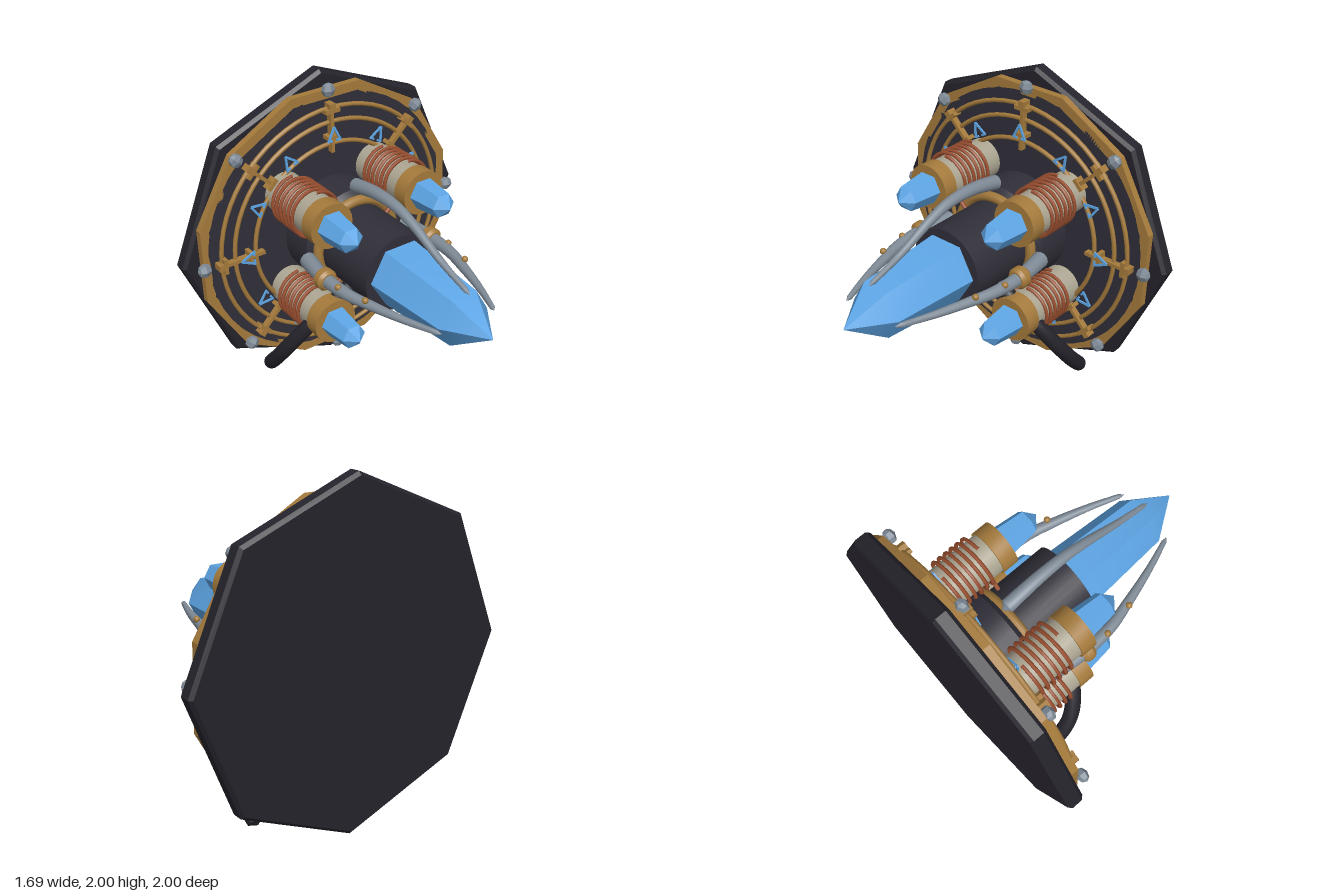
import * as THREE from 'three';
import { toCreasedNormals } from 'three/addons/utils/BufferGeometryUtils.js';

export function createModel() {
  const mat = (name, color) => {
    const m = new THREE.MeshStandardMaterial({ color });
    m.name = name;
    return m;
  };
  const black = mat('black iron', 0x25232b);
  const dark = mat('dark metal', 0x302f39);
  const brass = mat('brass', 0xa47a3c);
  const blue = mat('blue crystal', 0x5ea6e6);
  const copper = mat('copper', 0x9a4f30);
  const cream = mat('ceramic', 0xaca592);
  const steel = mat('steel', 0x7f8b97);

  // Everything is built around the x axis, then lifted by 1
  const model = new THREE.Group();
  const root = new THREE.Group();
  root.name = 'device';
  root.position.y = 1;
  model.add(root);

  const add = (parent, name, geo, material, x = 0, y = 0, z = 0) => {
    const m = new THREE.Mesh(geo, material);
    m.name = name;
    m.position.set(x, y, z);
    parent.add(m);
    return m;
  };

  // Turned solid about x; profile is [x, radius] from back to front
  const turned = (profile, sides, start = 0) => {
    const pts = profile.map(([x, r]) => new THREE.Vector2(r, x));
    const g = new THREE.LatheGeometry(pts, sides, start).rotateZ(-Math.PI / 2);
    return toCreasedNormals(g, 0.5);
  };
  const hoop = (r, tube, segs = 64) => new THREE.TorusGeometry(r, tube, 8, segs).rotateY(Math.PI / 2);

  // Closed tube with a radius that changes along its path
  const taperTube = (points, r0, r1, segs = 32, sides = 12) => {
    const curve = new THREE.CatmullRomCurve3(points.map((p) => new THREE.Vector3(...p)));
    const g = new THREE.TubeGeometry(curve, segs, 1, sides);
    const pos = g.attributes.position;
    const v = new THREE.Vector3();
    for (let i = 0; i <= segs; i++) {
      // the first and last rings close on the rings beside them
      const end = i === 0 || i === segs;
      const t = Math.min(Math.max(i, 1), segs - 1) / segs;
      const c = curve.getPointAt(i / segs);
      const r = end ? 0 : r0 + (r1 - r0) * t;
      for (let j = 0; j <= sides; j++) {
        const k = i * (sides + 1) + j;
        v.fromBufferAttribute(pos, k).sub(c).multiplyScalar(r).add(c);
        pos.setXYZ(k, v.x, v.y, v.z);
      }
    }
    return toCreasedNormals(g, 0.65);
  };

  const rod = (a, b, r) => {
    const p = new THREE.Vector3(...a), q = new THREE.Vector3(...b);
    return new THREE.TubeGeometry(new THREE.LineCurve3(p, q), 1, r, 8);
  };

  // Octagonal back plate, face disc and brass rim
  add(root, 'backPlate', turned([[-0.85, 0], [-0.85, 0.98], [-0.83, 1], [-0.765, 1], [-0.745, 0.98], [-0.745, 0]], 8), black);
  add(root, 'faceDisc', turned([[-0.745, 0], [-0.745, 0.86], [-0.7, 0.86], [-0.7, 0]], 48), dark);
  add(root, 'brassRim', turned([[-0.745, 0.925], [-0.7, 0.925], [-0.7, 0.865], [-0.745, 0.865], [-0.745, 0.925]], 12, Math.PI / 12), brass);

  // Raised rings on the face
  for (const r of [0.79, 0.7, 0.56]) add(root, 'faceRing', hoop(r, 0.014), brass, -0.67);

  // Eight bolts and graduated spokes
  for (let i = 0; i < 8; i++) {
    const sector = new THREE.Group();
    sector.name = 'spokeAndBolt';
    sector.rotation.x = (i * Math.PI) / 4;
    root.add(sector);
    const bolt = toCreasedNormals(new THREE.SphereGeometry(0.045, 6, 4), 0.3);
    add(sector, 'bolt', bolt, steel, -0.675, 0.9).scale.x = 0.8;
    add(sector, 'spoke', new THREE.BoxGeometry(0.04, 0.31, 0.022), brass, -0.66, 0.665);
    add(sector, 'outerTick', new THREE.BoxGeometry(0.06, 0.025, 0.1), brass, -0.66, 0.78);
    add(sector, 'spokeHead', new THREE.BoxGeometry(0.06, 0.05, 0.04), brass, -0.66, 0.8);
    add(sector, 'innerTick', new THREE.BoxGeometry(0.06, 0.025, 0.08), brass, -0.66, 0.61);
  }

  // Twelve thin arrow marks
  for (let i = 0; i < 12; i++) {
    const mark = new THREE.Group();
    mark.name = 'arrowMark';
    mark.rotation.x = (i * Math.PI) / 6;
    root.add(mark);
    for (const s of [-1, 1]) {
      const stroke = new THREE.BoxGeometry(0.009, 0.1, 0.013);
      add(mark, 'stroke', stroke, blue, -0.626, 0.635, s * 0.022).rotation.x = -s * 0.45;
      const foot = new THREE.BoxGeometry(0.009, 0.012, 0.032);
      add(mark, 'foot', foot, blue, -0.626, 0.595, s * 0.03);
    }
  }

  // Central flange, barrel, collar and large crystal
  add(root, 'flange', turned([[-0.7, 0], [-0.7, 0.33], [-0.47, 0.33], [-0.44, 0.3], [-0.44, 0]], 40), dark);
  add(root, 'barrel', turned([[-0.45, 0], [-0.45, 0.245], [0.02, 0.245], [0.02, 0]], 40), dark);
  add(root, 'collar', hoop(0.275, 0.032), brass, -0.425);
  add(root, 'mainCrystal', turned([[0, 0], [0, 0.21], [0.59, 0.172], [0.84, 0]], 6), blue);

  // Helical winding for the emitters
  class Helix extends THREE.Curve {
    getPoint(t, target = new THREE.Vector3()) {
      const a = t * Math.PI * 12;
      return target.set(-0.59 + t * 0.25, 0.148 * Math.cos(a), 0.148 * Math.sin(a));
    }
  }
  const coilGeo = new THREE.TubeGeometry(new Helix(), 180, 0.011, 6);
  const coreGeo = turned([[-0.7, 0], [-0.7, 0.128], [-0.25, 0.128], [-0.25, 0]], 28);
  const capGeo = turned([[-0.285, 0], [-0.285, 0.14], [-0.185, 0.14], [-0.185, 0]], 28);
  const tipGeo = turned([[-0.2, 0], [-0.2, 0.1], [0.005, 0.078], [0.07, 0]], 6);

  // Four emitters with copper leads
  for (const sy of [-1, 1]) for (const sz of [-1, 1]) {
    const emitter = new THREE.Group();
    emitter.name = 'emitter';
    emitter.position.set(0, sy * 0.328, sz * 0.325);
    root.add(emitter);
    add(emitter, 'ceramicCore', coreGeo, cream);
    add(emitter, 'coil', coilGeo, copper);
    add(emitter, 'cap', capGeo, brass);
    add(emitter, 'smallCrystal', tipGeo, blue);
    add(root, 'copperLead', rod([-0.35, sy * 0.15, sz * 0.15], [-0.35, sy * 0.26, sz * 0.26], 0.013), copper);
  }

  // Side prongs with collars and beads, and hoses below
  for (const s of [-1, 1]) {
    add(root, 'sideProng', taperTube([[-0.45, 0, s * 0.35], [-0.2, 0, s * 0.385], [0.02, 0, s * 0.375],
      [0.2, 0, s * 0.33], [0.42, 0, s * 0.265], [0.64, 0, s * 0.185]], 0.052, 0.014), steel);
    add(root, 'prongCollar', turned([[-0.04, 0], [-0.04, 0.05], [-0.02, 0.066], [0.02, 0.066], [0.04, 0.05], [0.04, 0]], 20),
      brass, -0.185, 0, s * 0.385);
    for (const [x, y, z] of [[-0.03, 0.03, 0.4], [0.175, 0.035, 0.358]]) {
      add(root, 'bead', new THREE.SphereGeometry(0.02, 12, 8), brass, x, y, s * z);
    }
    add(root, 'hose', taperTube([[-0.24, -0.14, s * 0.15], [-0.26, -0.24, s * 0.28], [-0.32, -0.39, s * 0.43],
      [-0.42, -0.56, s * 0.52], [-0.55, -0.72, s * 0.535], [-0.69, -0.86, s * 0.51]], 0.048, 0.048, 40), black);
  }

  // Upper prong
  add(root, 'upperProng', taperTube([[-0.45, 0.38, 0], [-0.2, 0.425, 0], [0, 0.42, 0], [0.15, 0.375, 0],
    [0.38, 0.27, 0], [0.64, 0.18, 0]], 0.045, 0.014), steel);

  return model;
}
